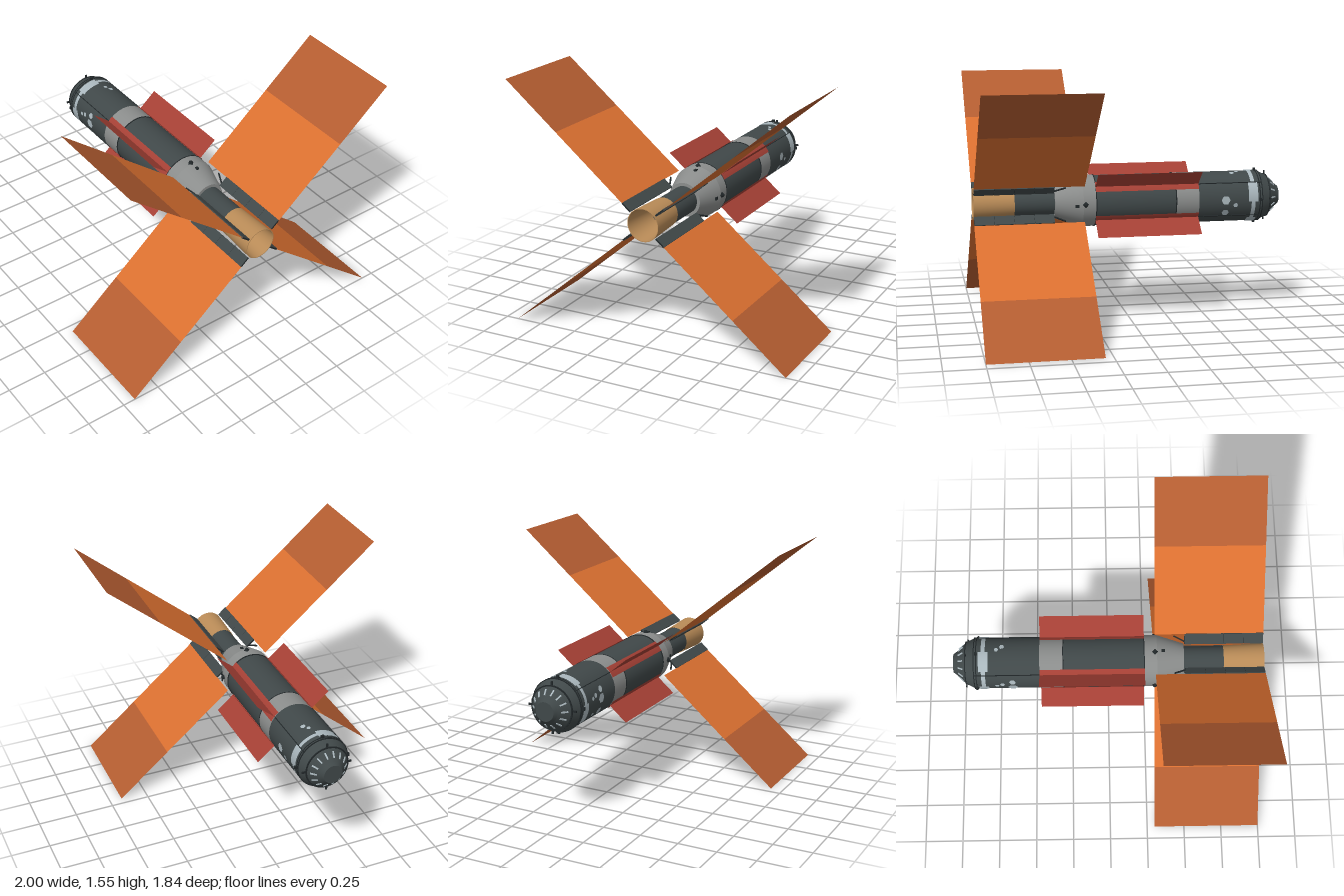
import * as THREE from 'three';

const paint = (name, color, side = THREE.FrontSide) => {
  const m = new THREE.MeshStandardMaterial({ side });
  m.color.set(color);
  m.name = name;
  return m;
};

export function createModel() {
  const hullDark = paint('dark hull', 0x404849);
  const black = paint('black trim', 0x22282a);
  const grey = paint('light grey', 0x8b8d8c);
  const pale = paint('pale blue grey', 0xaab7bd);
  const red = paint('red radiator', 0xa54035, THREE.DoubleSide);
  const orange = paint('bright orange', 0xdb7030, THREE.DoubleSide);
  const rust = paint('rust orange', 0xb45d31, THREE.DoubleSide);
  const tan = paint('tan', 0xb98b57, THREE.DoubleSide);

  const model = new THREE.Group();
  model.name = 'spaceTelescope';
  const craft = new THREE.Group();
  craft.name = 'craft';
  craft.position.y = 0.775;
  model.add(craft);

  const add = (name, geometry, material, parent = craft) => {
    const mesh = new THREE.Mesh(geometry, material);
    mesh.name = name;
    parent.add(mesh);
    return mesh;
  };
  // Round section along x, from radius r0 at x0 to r1 at x1
  const section = (name, x0, x1, r0, r1, mat, open = false) => {
    const g = new THREE.CylinderGeometry(r1, r0, x1 - x0, 48, 1, open);
    g.rotateZ(-Math.PI / 2).translate((x0 + x1) / 2, 0, 0);
    return add(name, g, mat);
  };
  // Curved plate on the hull; angles run from +z towards +y, in degrees
  const patch = (name, x0, x1, r, angle, span, mat) => {
    const rad = Math.PI / 180;
    const g = new THREE.CylinderGeometry(r, r, x1 - x0, 10, 1, true, -(angle + span / 2) * rad, span * rad);
    g.rotateZ(-Math.PI / 2).translate((x0 + x1) / 2, 0, 0);
    return add(name, g, mat);
  };
  // Group whose local +z points radially outward
  const spoke = (name, degrees) => {
    const g = new THREE.Group();
    g.name = name;
    g.rotation.x = -degrees * Math.PI / 180;
    craft.add(g);
    return g;
  };
  const sheet = (name, x0, x1, r0, r1, mat, parent) => {
    const g = new THREE.PlaneGeometry(x1 - x0, r1 - r0);
    g.rotateX(-Math.PI / 2).translate((x0 + x1) / 2, 0, (r0 + r1) / 2);
    return add(name, g, mat, parent);
  };
  const box = (name, x, y, z, w, h, d, mat, parent) =>
    add(name, new THREE.BoxGeometry(w, h, d).translate(x, y, z), mat, parent);

  // Hull
  section('noseTip', -1, -0.98, 0.06, 0.075, hullDark);
  section('noseCone', -0.98, -0.915, 0.075, 0.137, hullDark);
  section('noseShoulder', -0.915, -0.86, 0.137, 0.163, hullDark);
  section('forwardHull', -0.86, -0.44, 0.164, 0.164, hullDark);
  section('greyBand', -0.44, -0.29, 0.164, 0.164, grey);
  section('midHull', -0.29, 0.23, 0.162, 0.162, hullDark);
  section('rearBand', 0.23, 0.31, 0.165, 0.165, grey);
  section('rearCone', 0.31, 0.485, 0.165, 0.108, grey);
  section('rearNeck', 0.485, 0.75, 0.088, 0.088, hullDark);
  for (const [x, r] of [[-0.917, 0.141], [-0.86, 0.167], [-0.845, 0.167], [-0.29, 0.166], [0.228, 0.167]])
    section('seamRing', x - 0.003, x + 0.003, r, r, black);

  // Open tan barrel with flared lining and ribs
  section('barrel', 0.74, 1, 0.092, 0.103, tan, true);
  section('barrelLining', 0.752, 1, 0.076, 0.099, tan, true);
  section('barrelBack', 0.742, 0.756, 0.078, 0.078, hullDark);
  const lip = new THREE.RingGeometry(0.099, 0.103, 48).rotateY(Math.PI / 2).translate(1, 0, 0);
  add('barrelLip', lip, tan);
  for (let i = 0; i < 5; i++) {
    const x = 0.78 + i * 0.05;
    const rib = new THREE.TorusGeometry(0.0785 + (x - 0.752) * 0.093, 0.0022, 6, 40);
    add('barrelRib', rib.rotateY(Math.PI / 2).translate(x, 0, 0), black);
  }

  // Pale markings around the forward hull
  section('paleRing', -0.813, -0.787, 0.1665, 0.1665, pale, true);
  for (const a of [-18, 72, 162, 252]) patch('paleBlock', -0.83, -0.768, 0.1675, a, 45, pale);
  const spots = [[-0.615, 0, 0.032], [-0.615, 20, 0.022], [-0.615, -30, 0.026], [-0.68, 12, 0.016],
    [-0.715, 8, 0.014], [-0.69, -31, 0.014], [-0.68, 107, 0.017], [-0.715, 100, 0.014],
    [-0.615, 180, 0.03], [-0.615, 210, 0.024], [-0.68, 192, 0.016], [-0.65, 270, 0.02]];
  for (const [x, a, r] of spots)
    add('palePlate', new THREE.CircleGeometry(r, 6).translate(x, 0, 0.167), pale, spoke('plateMount', a));

  // Bars on the nose cone
  for (let i = 0; i < 14; i++) {
    const bar = box('noseBar', 0, 0, 0, 0.042, 0.009, 0.006, pale, spoke('barMount', i * 360 / 14));
    bar.position.set(-0.95, 0, 0.106);
    bar.rotation.y = -0.76;
  }

  // Small thrusters at the four cardinal points
  for (let i = 0; i < 4; i++) {
    const mount = spoke('thrusterMount', i * 90);
    box('frontThruster', -0.845, 0, 0.17, 0.012, 0.02, 0.024, black, mount);
    box('nosePeg', -0.912, 0, 0.148, 0.008, 0.012, 0.03, black, mount);
    const nub = new THREE.CylinderGeometry(0.008, 0.022, 0.02, 4).rotateX(Math.PI / 2);
    add('rearThruster', nub.translate(0.297, 0, 0.171), black, mount);
    box('rearPort', 0.35, 0.01, 0.154, 0.022, 0.018, 0.01, black, mount);
  }

  // Four diagonal wings: radiator forward, solar panel aft
  for (const a of [40.1, 139.9, 220.1, 319.9]) {
    const wing = spoke('wing', a);
    sheet('radiatorFin', -0.44, 0.23, 0.16, 0.312, red, wing);
    patch('radiatorBase', -0.44, 0.23, 0.168, a, 25, red);
    box('hullRail', -0.65, 0, 0.164, 0.42, 0.005, 0.008, black, wing);
    sheet('innerPanel', 0.3, 1, 0.178, 0.76, orange, wing);
    sheet('outerPanel', 0.3, 1, 0.76, 1.203, rust, wing);
    for (let i = 0; i < 4; i++)
      box('panelRoot', 0.554 + i * 0.127, 0, 0.145, 0.125, 0.012, 0.07, hullDark, wing);
    box('rootSpine', 0.745, 0, 0.145, 0.508, 0.008, 0.066, black, wing);
    const strut = box('panelStrut', 0, 0, 0, 0.09, 0.008, 0.008, black, wing);
    strut.position.set(0.46, 0, 0.145);
    strut.rotation.y = 0.5;
  }
  return model;
}
